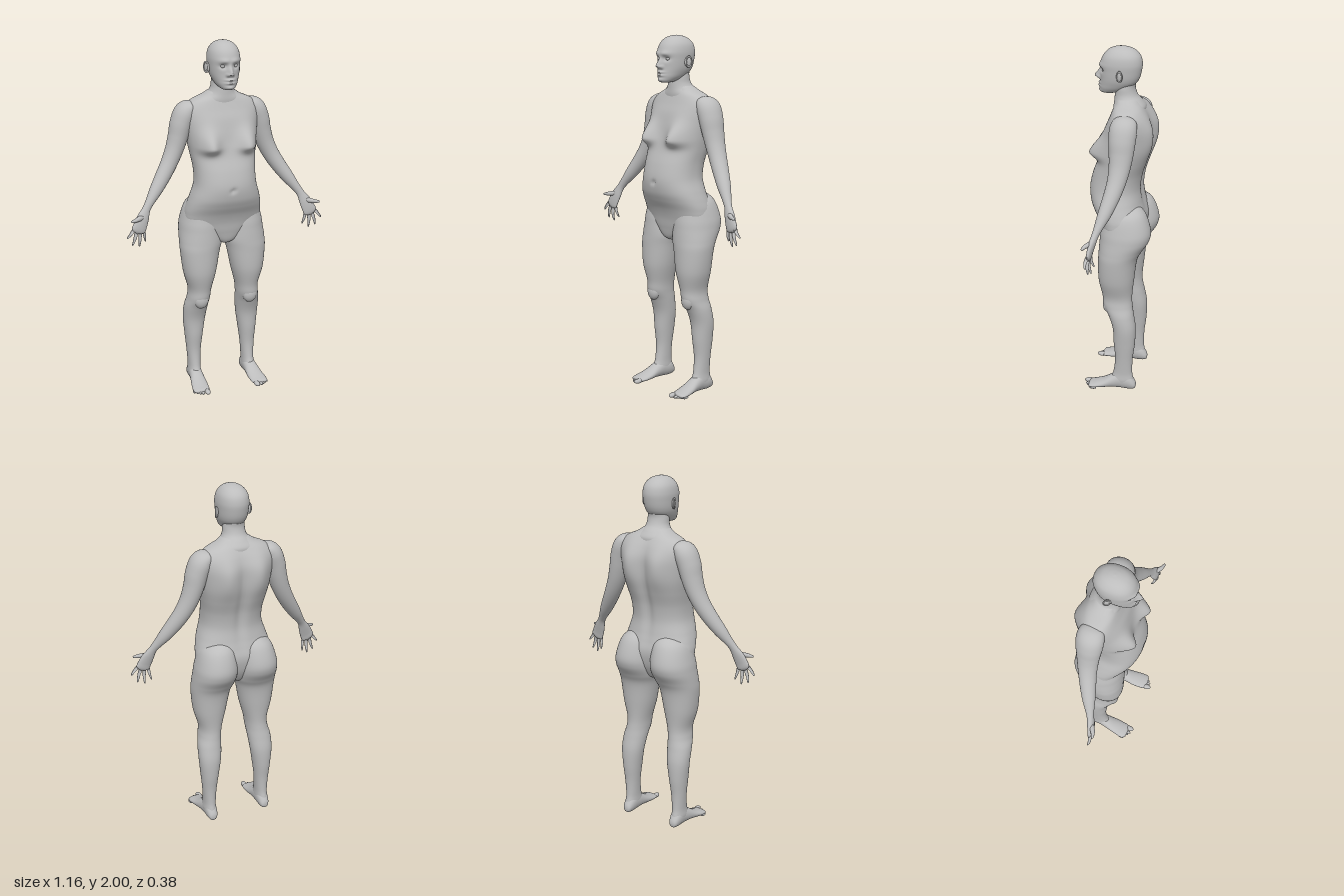
import * as THREE from 'three';

const skin = new THREE.MeshStandardMaterial({ color: 0xbdbdbd });
skin.name = 'plain grey';

// Catmull-Rom interpolation through rows of numbers, u from 0 to 1
function sample(rows, u) {
  const f = u * (rows.length - 1);
  const i = Math.min(Math.floor(f), rows.length - 2), t = f - i;
  const at = (k) => rows[Math.max(0, Math.min(rows.length - 1, k))];
  return rows[i].map((_, c) => {
    const a = at(i - 1)[c], b = at(i)[c], d = at(i + 1)[c], e = at(i + 2)[c];
    return b + 0.5 * t * (d - a + t * (2 * a - 5 * b + 4 * d - e + t * (3 * (b - d) + e - a)));
  });
}

// Closed skin over steps x segs points; turned outward by its signed volume
function skinGeometry(pointAt, steps, segs) {
  const pos = [], index = [];
  for (let i = 0; i <= steps; i++)
    for (let j = 0; j < segs; j++) pos.push(...pointAt(i / steps, (j / segs) * Math.PI * 2));
  for (let i = 0; i < steps; i++)
    for (let j = 0; j < segs; j++) {
      const a = i * segs + j, b = i * segs + ((j + 1) % segs);
      index.push(a, b, a + segs, b, b + segs, a + segs);
    }
  const geo = new THREE.BufferGeometry();
  geo.setAttribute('position', new THREE.Float32BufferAttribute(pos, 3));
  geo.setIndex(index);
  return faceOut(geo);
}

function faceOut(geo) {
  const p = geo.attributes.position, ix = geo.index.array;
  const v = [0, 1, 2].map(() => new THREE.Vector3());
  let volume = 0;
  for (let i = 0; i < ix.length; i += 3) {
    v.forEach((w, k) => w.fromBufferAttribute(p, ix[i + k]));
    volume += v[0].dot(v[1].clone().cross(v[2]));
  }
  if (volume < 0) for (let i = 0; i < ix.length; i += 3) [ix[i], ix[i + 1]] = [ix[i + 1], ix[i]];
  geo.computeVertexNormals();
  return geo;
}

// Loft through rows [t, a0, a1, b0, b1]: rounded sections given by their extents
function loft(rows, { map = (t, a, b) => [a, t, b], e = 1, steps = 80, segs = 48, shape } = {}) {
  const pw = (c) => Math.sign(c) * Math.abs(c) ** e;
  return skinGeometry((u, ang) => {
    const [t, a0, a1, b0, b1] = sample(rows, u);
    const p = map(t, (a0 + a1) / 2 + ((a1 - a0) / 2) * pw(Math.cos(ang)),
      (b0 + b1) / 2 + ((b1 - b0) / 2) * pw(Math.sin(ang)));
    if (shape) shape(p);
    return p;
  }, steps, segs);
}

// Limb along a path, rows [x, y, z, half width, half depth]
function limb(rows, steps = 50, segs = 28) {
  const at = (u) => new THREE.Vector3(...sample(rows, u).slice(0, 3));
  return skinGeometry((u, ang) => {
    const r = sample(rows, u);
    const dir = at(Math.min(1, u + 0.01)).sub(at(Math.max(0, u - 0.01))).normalize();
    const depth = new THREE.Vector3(0, 0, 1).addScaledVector(dir, -dir.z).normalize();
    const side = depth.clone().cross(dir);
    return at(u).addScaledVector(side, r[3] * Math.cos(ang))
      .addScaledVector(depth, r[4] * Math.sin(ang)).toArray();
  }, steps, segs);
}

const sym = (rows) => rows.map(([y, w, z0, z1]) => [y, -w, w, z0, z1]);
const bell = (d, r) => Math.exp(-((d / r) ** 2));

// Chest, navel and spine relief
function torsoShape(p) {
  const [x, y, z] = p, ax = Math.abs(x);
  if (z > 0) {
    const front = Math.min(1, z / 0.05);
    p[2] += front * 0.066 * bell(ax - 0.112, 0.055) * bell(y - 1.435, y > 1.435 ? 0.085 : 0.036);
    p[2] -= 0.012 * bell(x, 0.013) * bell(y - 1.2, 0.014);
  } else {
    const back = Math.min(1, -z / 0.08);
    p[2] += back * 0.02 * bell(x, 0.03) * bell(y - 1.36, 0.22);
    p[2] -= back * 0.028 * bell(ax - 0.095, 0.06) * bell(y - 1.53, 0.12);
  }
}

// Brow, eye sockets, nose, lips and chin relief
function faceShape(p) {
  const [x, y, z] = p, ax = Math.abs(x);
  if (z < 0.04) return;
  p[2] += 0.007 * bell(y - 1.9, 0.014) * bell(ax - 0.03, 0.03);
  p[2] -= 0.014 * bell(ax - 0.035, 0.018) * bell(y - 1.873, 0.014);
  p[2] += 0.034 * bell(x, 0.013) * bell(y - 1.833, y > 1.833 ? 0.032 : 0.011);
  p[2] += 0.012 * bell(ax - 0.015, 0.008) * bell(y - 1.828, 0.01);
  p[2] += 0.011 * bell(x, 0.024) * (bell(y - 1.8, 0.007) + bell(y - 1.783, 0.007));
  p[2] += 0.008 * bell(x, 0.022) * bell(y - 1.759, 0.011);
}

export function createModel() {
  const model = new THREE.Group();
  model.name = 'figure';

  const add = (name, geo) => {
    const mesh = new THREE.Mesh(geo, skin);
    mesh.name = name;
    model.add(mesh);
  };
  // The +x part and its mirror image
  const pair = (name, geo) => {
    add('left' + name, geo);
    add('right' + name, faceOut(geo.clone().scale(-1, 1, 1)));
  };
  const ball = (x, y, z, rx, ry, rz, turn = 0) =>
    new THREE.SphereGeometry(1, 20, 14).scale(rx, ry, rz).rotateY(turn).translate(x, y, z);

  add('torso', loft(sym([
    [0.86, 0, -0.03, 0.03], [0.88, 0.06, -0.08, 0.07], [0.94, 0.16, -0.12, 0.088],
    [1.0, 0.215, -0.14, 0.1], [1.05, 0.22, -0.145, 0.118], [1.1, 0.21, -0.135, 0.145],
    [1.15, 0.195, -0.125, 0.165], [1.22, 0.174, -0.118, 0.172], [1.3, 0.172, -0.128, 0.155],
    [1.38, 0.183, -0.15, 0.125], [1.45, 0.195, -0.165, 0.105], [1.52, 0.205, -0.168, 0.09],
    [1.58, 0.212, -0.165, 0.075], [1.63, 0.21, -0.15, 0.055], [1.67, 0.175, -0.13, 0.04],
    [1.7, 0.11, -0.11, 0.03], [1.73, 0.06, -0.08, 0.02], [1.74, 0, -0.03, -0.03],
  ]), { e: 0.86, steps: 150, segs: 96, shape: torsoShape }));

  add('neck', loft(sym([
    [1.86, 0.045, -0.075, 0.02], [1.82, 0.054, -0.078, 0.03], [1.78, 0.06, -0.073, 0.035],
    [1.74, 0.065, -0.085, 0.038], [1.71, 0.085, -0.11, 0.04], [1.68, 0.13, -0.13, 0.042],
    [1.65, 0.15, -0.13, 0.04],
  ]), { steps: 40 }));

  add('head', loft(sym([
    [1.742, 0, 0.075, 0.075], [1.748, 0.032, 0.03, 0.112], [1.77, 0.055, -0.03, 0.119],
    [1.8, 0.07, -0.075, 0.117], [1.83, 0.079, -0.095, 0.115], [1.87, 0.084, -0.106, 0.116],
    [1.91, 0.086, -0.11, 0.115], [1.95, 0.078, -0.1, 0.1], [1.98, 0.056, -0.072, 0.072],
    [1.995, 0.028, -0.035, 0.037], [2.0, 0, 0, 0],
  ]), { e: 0.93, steps: 120, segs: 120, shape: faceShape }));
  pair('Eye', ball(0.034, 1.873, 0.09, 0.014, 0.011, 0.012));

  // Ear shell with a raised rim
  pair('Ear', ball(0.09, 1.855, -0.005, 0.009, 0.03, 0.02, -0.45));
  pair('EarRim', new THREE.TorusGeometry(0.02, 0.004, 8, 24).scale(0.8, 1.35, 1)
    .rotateY(Math.PI / 2 - 0.4).translate(0.096, 1.857, -0.007));

  // Thigh with buttock, knee, calf and ankle
  pair('Leg', loft([
    [1.15, 0.1, 0.1, -0.06, -0.06], [1.135, 0.05, 0.15, -0.11, 0.02], [1.09, 0.015, 0.205, -0.157, 0.07],
    [1.0, 0.003, 0.235, -0.187, 0.09], [0.94, 0.001, 0.244, -0.18, 0.096], [0.88, 0.006, 0.249, -0.143, 0.1],
    [0.82, 0.026, 0.249, -0.115, 0.102], [0.7, 0.05, 0.235, -0.1, 0.1], [0.6, 0.076, 0.208, -0.09, 0.08],
    [0.54, 0.084, 0.211, -0.093, 0.073], [0.48, 0.089, 0.224, -0.103, 0.042], [0.4, 0.098, 0.226, -0.115, 0.016],
    [0.3, 0.113, 0.217, -0.112, 0.01], [0.2, 0.126, 0.207, -0.1, 0.002], [0.11, 0.132, 0.201, -0.098, 0.012],
    [0.06, 0.132, 0.203, -0.105, 0.03], [0.03, 0.14, 0.195, -0.09, 0.02],
  ], { e: 0.95, steps: 130 }));
  pair('Kneecap', ball(0.147, 0.535, 0.045, 0.042, 0.05, 0.032));

  // Feet run along z
  pair('Foot', loft([
    [-0.12, 0.165, 0.165, 0.03, 0.03], [-0.113, 0.145, 0.188, 0.007, 0.055], [-0.08, 0.133, 0.2, 0, 0.1],
    [-0.03, 0.131, 0.203, 0.002, 0.11], [0.02, 0.13, 0.21, 0.004, 0.085], [0.07, 0.127, 0.22, 0.002, 0.055],
    [0.12, 0.13, 0.227, 0, 0.036], [0.15, 0.138, 0.22, 0.003, 0.027], [0.158, 0.18, 0.18, 0.015, 0.015],
  ], { map: (t, a, b) => [a, b, t], steps: 50, segs: 36 }));
  for (let i = 0; i < 5; i++) {
    const r = i ? 0.011 - i * 0.0007 : 0.016;
    const x = i ? 0.163 + i * 0.0145 : 0.152;
    pair('Toe' + (i + 1), ball(x, r * 0.85, 0.161 - i * 0.009, r, r * 0.85, 0.028 - i * 0.002, 0.1));
  }

  // Shoulder, upper arm, forearm, wrist and palm in one piece
  pair('Arm', limb([
    [0.15, 1.655, -0.055, 0, 0], [0.165, 1.647, -0.055, 0.032, 0.055], [0.2, 1.612, -0.053, 0.058, 0.073],
    [0.226, 1.55, -0.051, 0.06, 0.072], [0.244, 1.48, -0.05, 0.055, 0.065], [0.267, 1.41, -0.046, 0.05, 0.057],
    [0.3, 1.34, -0.036, 0.046, 0.05], [0.343, 1.27, -0.018, 0.042, 0.044], [0.392, 1.2, 0.005, 0.035, 0.036],
    [0.432, 1.145, 0.025, 0.025, 0.025], [0.457, 1.108, 0.038, 0.023, 0.019], [0.48, 1.065, 0.05, 0.034, 0.018],
    [0.499, 1.025, 0.058, 0.039, 0.015], [0.512, 0.995, 0.061, 0.036, 0.011], [0.518, 0.98, 0.062, 0, 0],
  ], 110, 36));

  // Thumb and four tapering fingers: base, then tip
  const digits = {
    Thumb: [[0.485, 1.07, 0.052], [0.557, 1.06, 0.088], 0.014],
    IndexFinger: [[0.53, 1.015, 0.06], [0.577, 0.96, 0.066], 0.01],
    MiddleFinger: [[0.52, 0.998, 0.06], [0.545, 0.915, 0.058], 0.01],
    RingFinger: [[0.502, 0.992, 0.06], [0.505, 0.902, 0.05], 0.01],
    LittleFinger: [[0.482, 1.0, 0.058], [0.468, 0.925, 0.042], 0.009],
  };
  for (const [name, [base, tip, r]] of Object.entries(digits)) {
    const at = (k, w, lift) => [...base.map((b, i) => b + (tip[i] - b) * k + (i === 2 ? lift : 0)), r * w, r * w];
    pair(name, limb([at(-0.15, 0.9, 0), at(0.2, 1, 0.004), at(0.5, 0.85, 0.007), at(0.8, 0.6, 0.004),
      at(0.95, 0.4, 0.001), at(1, 0, 0)], 20, 12));
  }

  return model;
}
